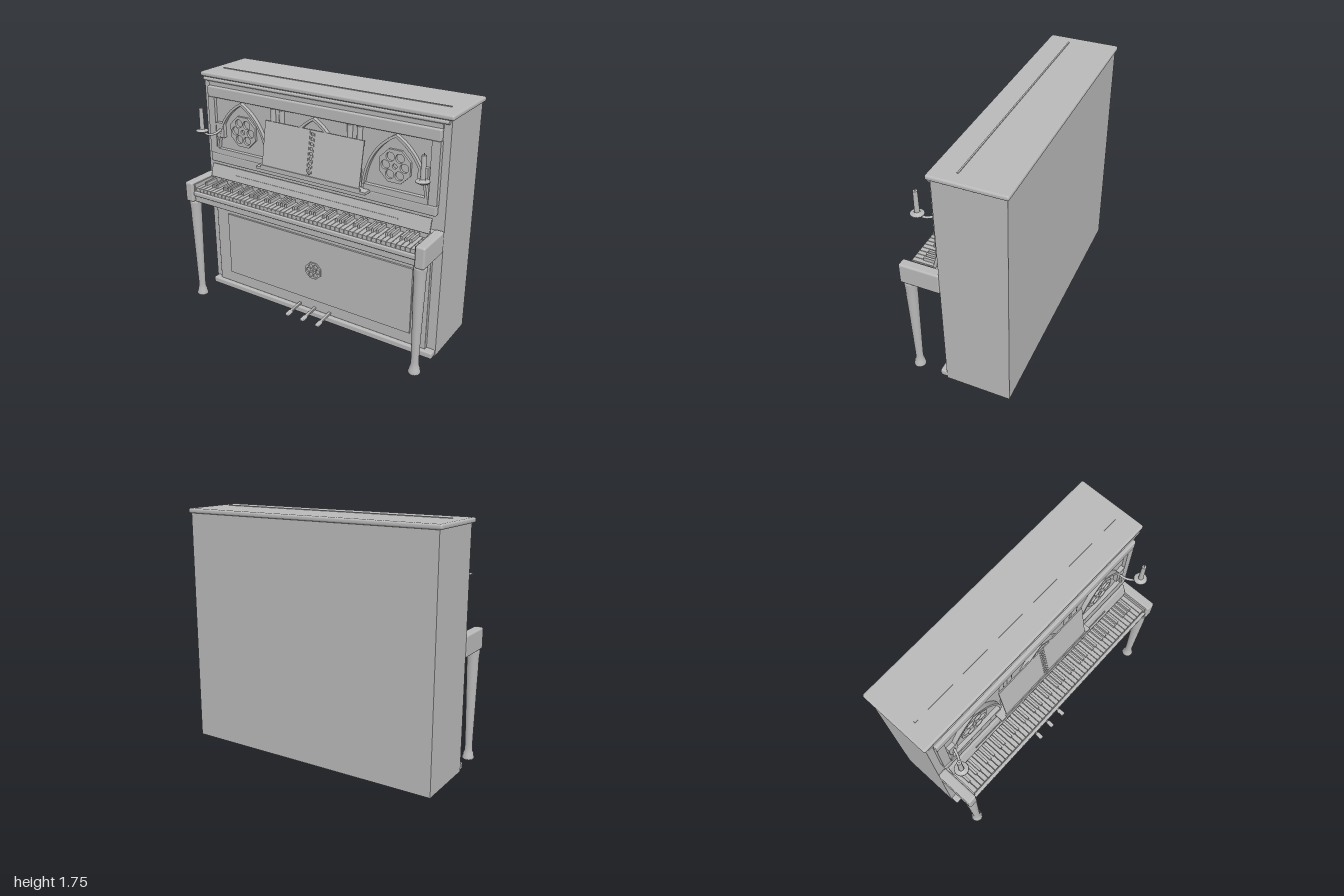
import * as THREE from 'three';
import { RoundedBoxGeometry } from 'three/addons/geometries/RoundedBoxGeometry.js';

export function createModel() {
  const grey = new THREE.MeshStandardMaterial({ color: 0xb8b8b8 });
  grey.name = 'plain grey';
  const piano = new THREE.Group();
  piano.name = 'uprightPiano';

  const add = (name, geo, x = 0, y = 0, z = 0, parent = piano) => {
    const m = new THREE.Mesh(geo, grey);
    m.name = name;
    m.position.set(x, y, z);
    parent.add(m);
    return m;
  };
  // Box given by its limits, rounded when r > 0
  const box = (name, x0, x1, y0, y1, z0, z1, r = 0, parent = piano) => {
    const s = [x1 - x0, y1 - y0, z1 - z0];
    const geo = r ? new RoundedBoxGeometry(...s, 2, r) : new THREE.BoxGeometry(...s);
    return add(name, geo, (x0 + x1) / 2, (y0 + y1) / 2, (z0 + z1) / 2, parent);
  };
  const extrude = (shape, depth) =>
    new THREE.ExtrudeGeometry(shape, { depth, bevelEnabled: false, curveSegments: 12 });

  // Hollow case, open underneath
  box('backPanel', -0.98, 0.98, 0, 1.71, -0.375, -0.355);
  for (const s of [-1, 1]) {
    const xs = (a, b) => (s > 0 ? [a, b] : [-b, -a]);
    box('sideWall', ...xs(0.96, 0.98), 0, 1.71, -0.355, 0.1);
    box('frontPost', ...xs(0.93, 0.96), 0, 1.71, 0.06, 0.1);
    box('cheekArm', ...xs(0.915, 0.985), 0.815, 0.97, 0.1, 0.39, 0.014);
    box('keyBlock', ...xs(0.905, 0.915), 0.86, 0.955, 0.14, 0.365);
  }
  box('innerFront', -0.93, 0.93, 0.03, 1.71, 0.07, 0.1);
  box('lid', -1, 1, 1.71, 1.745, -0.39, 0.128, 0.014);
  box('lidHinge', -0.91, 0.91, 1.74, 1.75, -0.045, -0.035);
  const rod = add('lidMoulding', new THREE.CylinderGeometry(0.013, 0.013, 1.94, 12), 0, 1.695, 0.115);
  rod.rotation.z = Math.PI / 2;

  // Upper frame
  box('topRail', -0.93, 0.93, 1.57, 1.65, 0.1, 0.14, 0.01);
  box('topTrim', -0.93, 0.93, 1.65, 1.68, 0.1, 0.115);
  box('middleRail', -0.93, 0.93, 1.07, 1.14, 0.1, 0.14, 0.01);
  for (const s of [-1, 1]) {
    box('frameStile', s * 0.9 - 0.03, s * 0.9 + 0.03, 1.14, 1.57, 0.1, 0.135);
    box('archSill', s * 0.635 - 0.235, s * 0.635 + 0.235, 1.14, 1.18, 0.1, 0.142);
    for (const x of [0.275, 0.35]) {
      add('slimColumn', new THREE.CylinderGeometry(0.02, 0.02, 0.42, 12), s * x, 1.355, 0.115);
    }
  }
  box('upperPanel', -0.9, 0.9, 1.14, 1.57, 0.1, 0.112);

  // Pointed arch ribs
  const archPath = (Type, w, base, top) => {
    const p = new Type();
    p.moveTo(-w, base);
    p.lineTo(w, base);
    p.quadraticCurveTo(w * 0.86, top - 0.11, 0, top);
    p.quadraticCurveTo(-w * 0.86, top - 0.11, -w, base);
    return p;
  };
  const arch = archPath(THREE.Shape, 0.24, 1.18, 1.565);
  arch.holes.push(archPath(THREE.Path, 0.222, 1.185, 1.545));
  for (const x of [-0.625, 0, 0.625]) add('pointedArch', extrude(arch, 0.035), x, 0, 0.108);

  // Tracery rosettes
  const rosette = (r, depth) => {
    const shape = new THREE.Shape();
    for (let i = 0; i < 8; i++) {
      const a = (i + 0.5) * Math.PI / 4;
      shape[i ? 'lineTo' : 'moveTo'](r * Math.cos(a), r * Math.sin(a));
    }
    shape.closePath();
    const hole = (x, y, hr) => {
      const h = new THREE.Path();
      h.absarc(x, y, hr, 0, Math.PI * 2, true);
      shape.holes.push(h);
    };
    hole(0, 0, r * 0.14);
    for (let i = 0; i < 6; i++) {
      const a = (i * Math.PI) / 3;
      hole(r * 0.57 * Math.cos(a), r * 0.57 * Math.sin(a), r * 0.25);
    }
    return extrude(shape, depth);
  };
  for (const s of [-1, 1]) add('archRosette', rosette(0.122, 0.018), s * 0.62, 1.345, 0.112);

  // Music desk
  box('deskShelf', -0.45, 0.45, 1.13, 1.148, 0.13, 0.205);
  box('deskLip', -0.41, 0.41, 1.148, 1.165, 0.195, 0.205);
  const desk = new THREE.Group();
  desk.name = 'musicDesk';
  desk.position.set(0, 1.155, 0.197);
  desk.rotation.x = -0.175;
  piano.add(desk);
  for (const s of [-1, 1]) box('deskBoard', s * 0.21 - 0.19, s * 0.21 + 0.19, 0, 0.33, -0.005, 0.003, 0, desk);
  const strip = new THREE.Shape();
  strip.moveTo(-0.018, 0);
  strip.lineTo(0.018, 0);
  strip.lineTo(0.018, 0.33);
  strip.lineTo(-0.018, 0.33);
  strip.closePath();
  for (let i = 0; i < 9; i++) {
    const h = new THREE.Path();
    h.absarc(0, 0.03 + i * 0.034, 0.011, 0, Math.PI * 2, true);
    strip.holes.push(h);
  }
  add('deskFret', extrude(strip, 0.008), 0, 0, -0.005, desk);

  // Candle holders
  for (const s of [-1, 1]) {
    box('sconcePlate', s * 0.825 - 0.035, s * 0.825 + 0.035, 1.275, 1.385, 0.11, 0.142);
    const path = new THREE.CatmullRomCurve3([
      [0.82, 1.335, 0.14], [0.835, 1.315, 0.18], [0.86, 1.312, 0.225], [0.885, 1.34, 0.267],
    ].map(([x, y, z]) => new THREE.Vector3(s * x, y, z)));
    add('sconceArm', new THREE.TubeGeometry(path, 20, 0.009, 8), 0, 0, 0);
    const dish = [[0, 0], [0.015, 0], [0.03, 0.008], [0.047, 0.018], [0.045, 0.023], [0.02, 0.02], [0.02, 0.035], [0, 0.035]];
    add('candleDish', new THREE.LatheGeometry(dish.map(p => new THREE.Vector2(...p)), 20), s * 0.885, 1.33, 0.267);
    add('candle', new THREE.CylinderGeometry(0.015, 0.017, 0.155, 16), s * 0.885, 1.442, 0.267);
    add('wick', new THREE.CylinderGeometry(0.003, 0.003, 0.015, 6), s * 0.885, 1.526, 0.267);
  }

  // Keyboard
  box('keyBed', -0.915, 0.915, 0.815, 0.865, 0.1, 0.365, 0.008);
  box('keySlip', -0.915, 0.915, 0.865, 0.9, 0.355, 0.378, 0.008);
  box('keyFrame', -0.905, 0.905, 0.865, 0.895, 0.1, 0.355);
  box('keyBacking', -0.915, 0.915, 0.895, 0.96, 0.1, 0.165);
  const fall = box('fallboard', -0.91, 0.91, 0.955, 1.06, 0.143, 0.165, 0.006);
  fall.rotation.x = -0.27;
  const trim = box('fallboardTrim', -0.68, 0.68, 1.003, 1.009, 0.164, 0.172);
  trim.rotation.x = -0.27;
  const pitch = 1.81 / 52;
  const whiteKey = new THREE.BoxGeometry(pitch - 0.004, 0.03, 0.185);
  const blackKey = new THREE.BoxGeometry(0.017, 0.03, 0.11);
  for (let i = 0; i < 52; i++) {
    const x = -0.905 + (i + 0.5) * pitch;
    add('whiteKey', whiteKey, x, 0.91, 0.2625);
    // The keyboard starts on A; sharps follow A, C, D, F and G
    if (i < 51 && [0, 2, 3, 5, 6].includes(i % 7)) add('blackKey', blackKey, x + pitch / 2, 0.935, 0.228);
  }

  // Lower panel
  box('lowerPanel', -0.915, 0.915, 0.05, 0.75, 0.1, 0.13, 0.005);
  box('raisedPanel', -0.795, 0.795, 0.145, 0.655, 0.13, 0.144);
  add('panelRosette', rosette(0.07, 0.012), 0, 0.4, 0.143);
  box('bottomRail', -0.975, 0.975, 0, 0.05, 0.06, 0.155, 0.012);

  // Pedals
  for (const x of [-0.133, 0, 0.133]) {
    const pedal = new THREE.Group();
    pedal.name = 'pedal';
    pedal.position.set(x, 0.073, 0.13);
    pedal.rotation.x = 0.08;
    piano.add(pedal);
    box('pedalBar', -0.011, 0.011, -0.008, 0.008, 0, 0.13, 0.004, pedal);
    box('pedalFoot', -0.017, 0.017, -0.011, 0.011, 0.12, 0.18, 0.007, pedal);
  }

  // Turned front legs
  const profile = [
    [0, 0], [0.042, 0], [0.044, 0.012], [0.038, 0.024], [0.036, 0.045], [0.029, 0.06], [0.027, 0.1],
    [0.029, 0.2], [0.036, 0.5], [0.041, 0.68], [0.041, 0.74], [0.046, 0.8], [0.046, 0.816], [0, 0.816],
  ].map(p => new THREE.Vector2(...p));
  for (const s of [-1, 1]) add('frontLeg', new THREE.LatheGeometry(profile, 24), s * 0.938, 0, 0.337);

  return piano;
}
